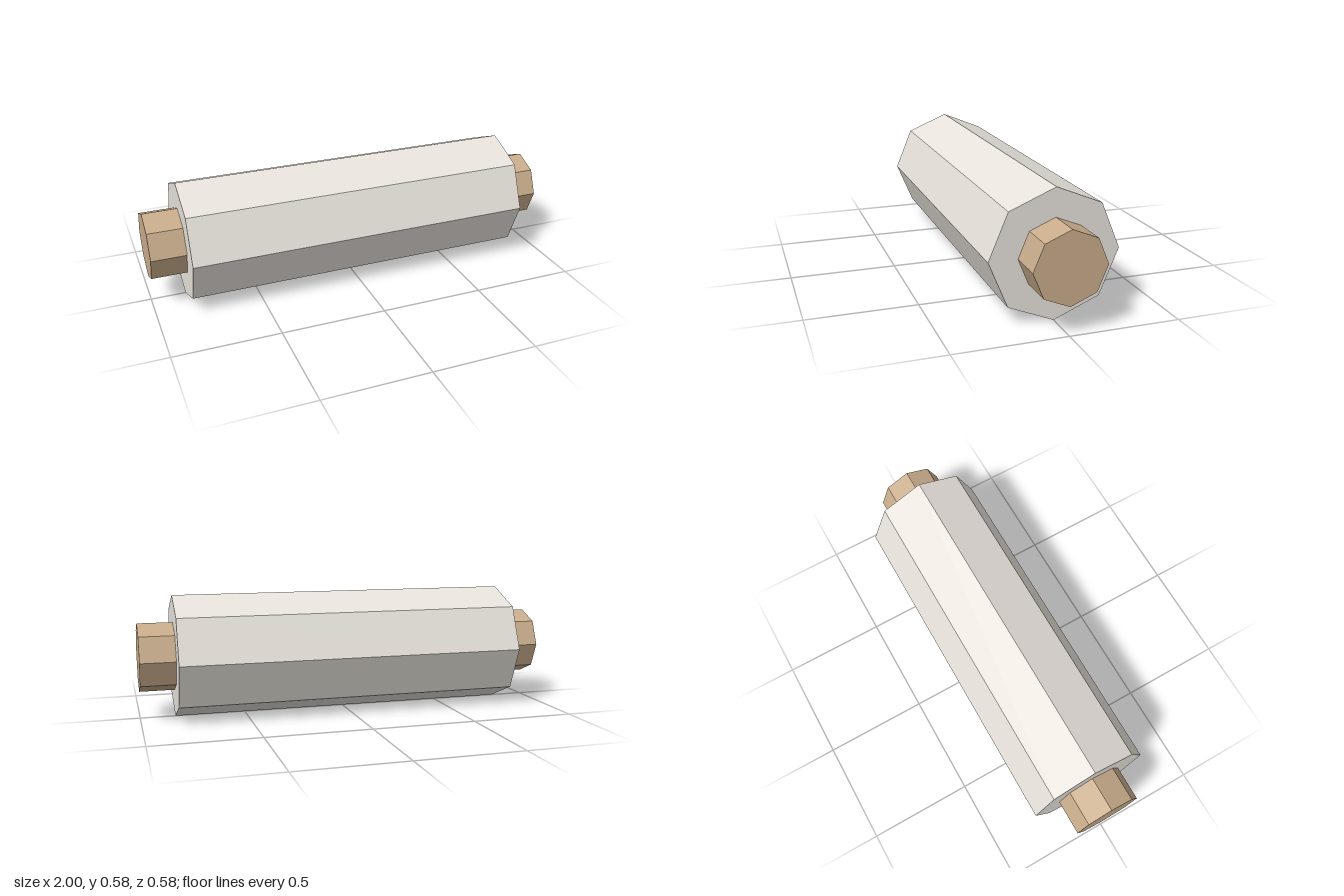
import * as THREE from 'three';

const SIDES = 8;
const OUTER = 0.291;

// Octagonal bar lying along x, with a corner pointing straight up
function bar(name, radius, length, color) {
  const geometry = new THREE.CylinderGeometry(radius, radius, length, SIDES);
  geometry.rotateZ(Math.PI / 2);
  const mesh = new THREE.Mesh(
    geometry,
    new THREE.MeshStandardMaterial({ color, flatShading: true })
  );
  mesh.name = name;
  mesh.position.y = OUTER;
  return mesh;
}

export function createModel() {
  const group = new THREE.Group();
  group.name = 'roll';

  // Pale wound body
  group.add(bar('rollBody', OUTER, 1.67, 0xe8e3dc));

  // Wooden core, showing at both ends
  group.add(bar('core', 0.163, 2, 0xc9ad8c));

  return group;
}
